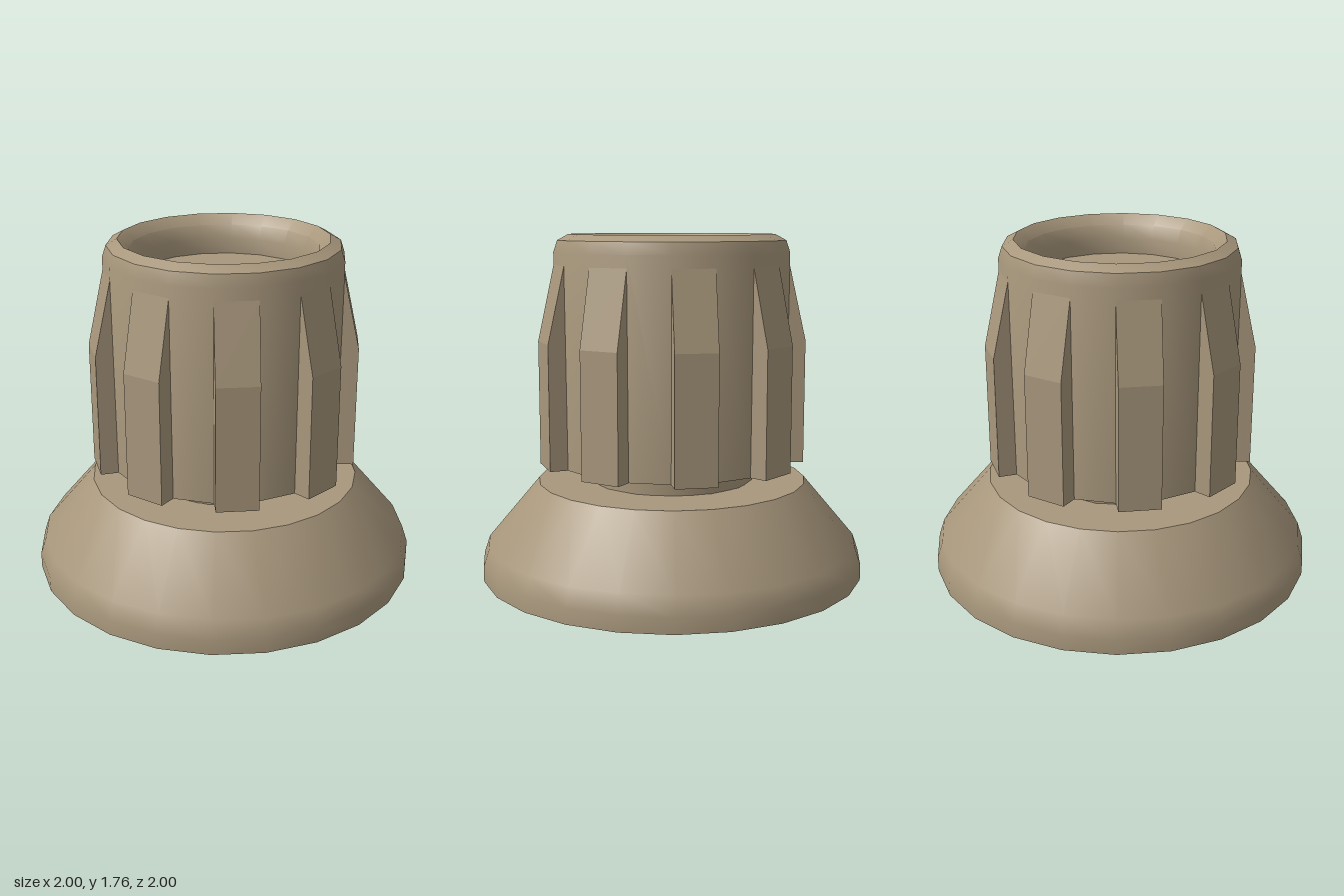
import * as THREE from 'three';
import { toCreasedNormals } from 'three/addons/utils/BufferGeometryUtils.js';

const material = new THREE.MeshStandardMaterial({ color: 0xa8977c, side: THREE.DoubleSide });
const rad = THREE.MathUtils.degToRad;

// Turned part from [radius, height] points, outer side first going up
function turned(name, points, sides, startDegrees = 0) {
  const profile = points.map(([r, y]) => new THREE.Vector2(r, y));
  const geometry = new THREE.LatheGeometry(profile, sides, rad(startDegrees));
  const mesh = new THREE.Mesh(toCreasedNormals(geometry, rad(32)), material);
  mesh.name = name;
  return mesh;
}

export function createModel() {
  const model = new THREE.Group();
  model.name = 'controlKnob';

  // Hollow flared skirt with a flat top ring
  model.add(turned('skirt', [[1, 0], [1, 0.08], [0.97, 0.17], [0.7, 0.49], [0.42, 0.49]], 24));

  // Thin open sleeve under the grip, closed inside near the top
  model.add(turned('sleeve', [[0.425, 0.12], [0.425, 0.59]], 14, 12));
  model.add(turned('sleeveCeiling', [[0, 0.5], [0.425, 0.5]], 14, 12));

  // Grip body with a rounded rim and a dished top
  model.add(turned('gripBody', [
    [0, 0.59], [0.6, 0.59], [0.605, 1.67], [0.585, 1.73], [0.53, 1.76],
    [0.475, 1.71], [0.45, 1.64], [0.45, 1.56], [0, 1.56],
  ], 18, 4));

  // Nine ribs, each on every other facet of the body
  const side = new THREE.Shape([
    [0.57, 0.59], [0.682, 0.59], [0.682, 1.225], [0.595, 1.61], [0.57, 1.61],
  ].map(([r, y]) => new THREE.Vector2(r, y)));
  const width = 0.21;
  const ribGeometry = new THREE.ExtrudeGeometry(side, { depth: width, bevelEnabled: false });
  ribGeometry.translate(0, 0, -width / 2);
  const ribs = new THREE.Group();
  ribs.name = 'gripRibs';
  for (let i = 0; i < 9; i++) {
    const rib = new THREE.Mesh(ribGeometry, material);
    rib.name = 'rib';
    rib.rotation.y = rad(14 + i * 40 - 90);
    ribs.add(rib);
  }
  model.add(ribs);

  return model;
}
